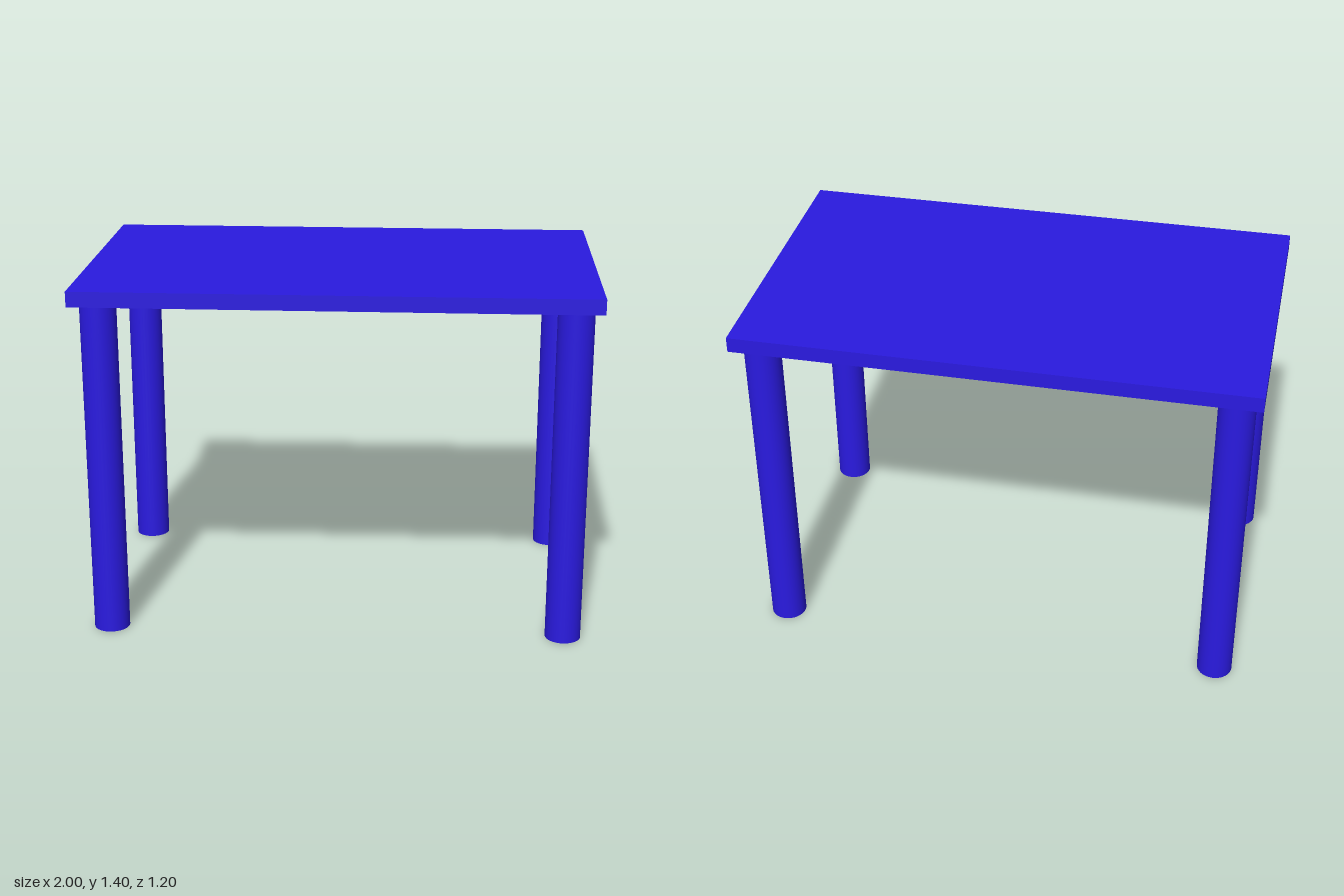
import * as THREE from 'three';

const WIDTH = 2, DEPTH = 1.2, HEIGHT = 1.4, TOP_THICKNESS = 0.06;
const LEG_RADIUS = 0.07, LEG_X = 0.9, LEG_Z = 0.5;

export function createModel() {
  const table = new THREE.Group();
  table.name = 'table';
  const blue = new THREE.MeshStandardMaterial({ color: 0x2a1ae0 });

  // Flat rectangular top
  const top = new THREE.Mesh(new THREE.BoxGeometry(WIDTH, TOP_THICKNESS, DEPTH), blue);
  top.name = 'tableTop';
  top.position.y = HEIGHT - TOP_THICKNESS / 2;
  table.add(top);

  // Four round legs, one near each corner
  const legHeight = HEIGHT - TOP_THICKNESS;
  const legGeometry = new THREE.CylinderGeometry(LEG_RADIUS, LEG_RADIUS, legHeight, 32);
  for (const [side, x] of [['Left', LEG_X], ['Right', -LEG_X]]) {
    for (const [end, z] of [['front', LEG_Z], ['back', -LEG_Z]]) {
      const leg = new THREE.Mesh(legGeometry, blue);
      leg.name = `${end}${side}Leg`;
      leg.position.set(x, legHeight / 2, z);
      table.add(leg);
    }
  }

  return table;
}
